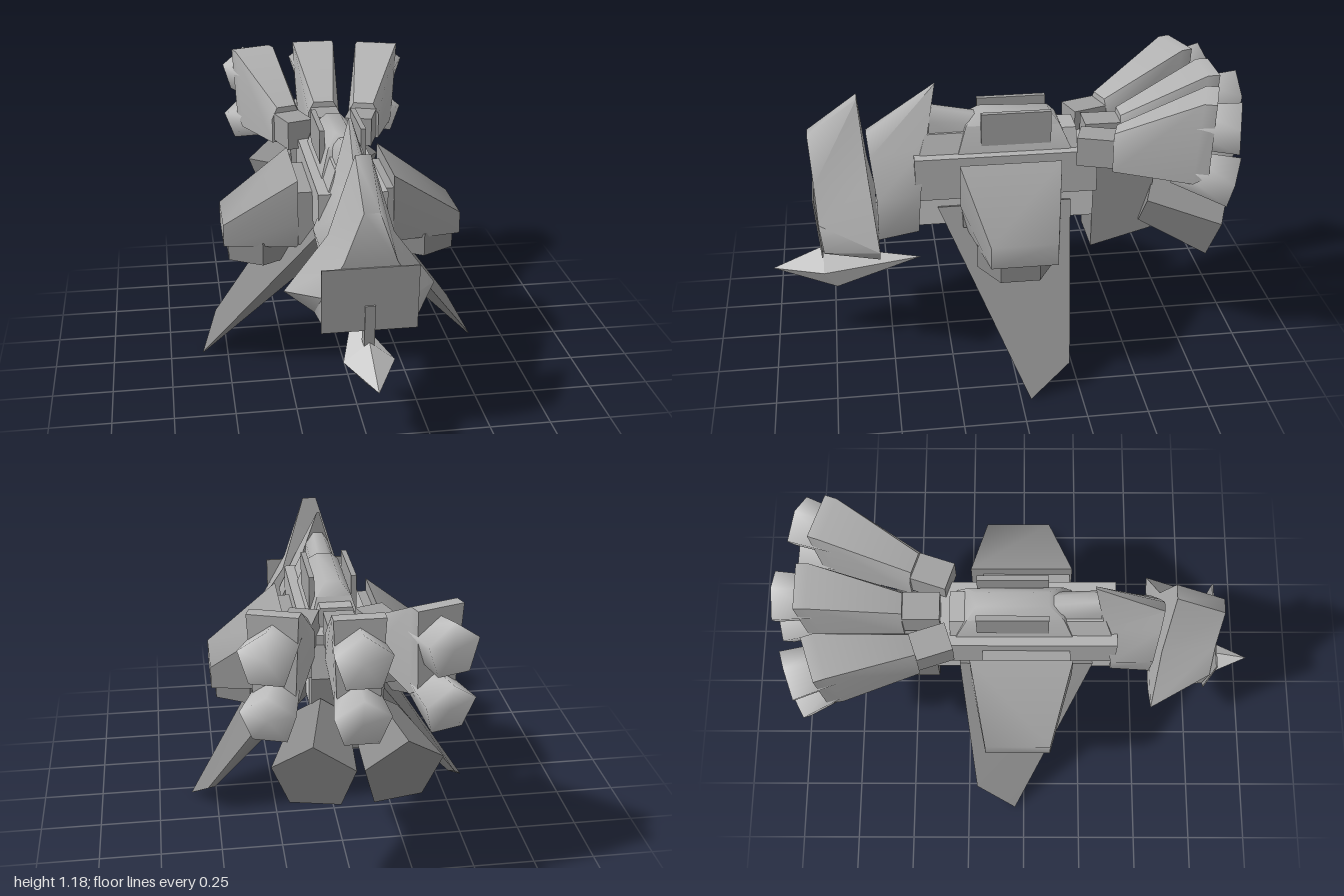
import * as THREE from 'three';
import { toCreasedNormals } from 'three/addons/utils/BufferGeometryUtils.js';
import { ConvexGeometry } from 'three/addons/geometries/ConvexGeometry.js';

const paint = color => new THREE.MeshStandardMaterial({ color, side: THREE.DoubleSide });
const light = paint(0xcccccc), medium = paint(0xb2b2b2), grey = paint(0xa0a0a0), dark = paint(0x8a8a8a);

function mesh(name, geo, parent, mat = light, crease = 0.6) {
  const m = new THREE.Mesh(toCreasedNormals(geo, crease), mat);
  m.name = name;
  parent.add(m);
  return m;
}

// Axis-aligned box given by its limits
function box(name, parent, mat, x0, x1, y0, y1, z0, z1) {
  const m = mesh(name, new THREE.BoxGeometry(x1 - x0, y1 - y0, z1 - z0), parent, mat);
  m.position.set((x0 + x1) / 2, (y0 + y1) / 2, (z0 + z1) / 2);
}

// Convex solid around corner points; sym also adds each corner at -x
function hull(name, parent, mat, pts, { sym = false, crease = 0.6 } = {}) {
  const v = [];
  for (const [x, y, z] of pts) {
    v.push(new THREE.Vector3(x, y, z));
    if (sym && x !== 0) v.push(new THREE.Vector3(-x, y, z));
  }
  mesh(name, new ConvexGeometry(v), parent, mat, crease);
}

// Symmetric shell between two half outlines (top to bottom), capped at both ends
function cowl(name, parent, back, front) {
  const ring = h => [...h, ...h.slice().reverse().map(([x, y, z]) => [-x, y, z])];
  const a = ring(back), b = ring(front), n = a.length, h = back.length, pos = [];
  const quad = (p, q, r, s) => pos.push(...p, ...q, ...r, ...p, ...r, ...s);
  for (let i = 0; i < n; i++) {
    const j = (i + 1) % n;
    quad(a[i], b[i], b[j], a[j]);
  }
  for (let i = 0; i < h - 1; i++) {
    const j = n - 1 - i;
    quad(a[i], a[i + 1], a[j - 1], a[j]);
    quad(b[j], b[j - 1], b[i + 1], b[i]);
  }
  const g = new THREE.BufferGeometry();
  g.setAttribute('position', new THREE.Float32BufferAttribute(pos, 3));
  mesh(name, g, parent, medium, 1.2);
}

// Five-sided nozzle running rearward from one point to another
function nozzle(name, parent, mat, from, to, r0, r1, crease) {
  const a = new THREE.Vector3(...from), b = new THREE.Vector3(...to);
  const m = mesh(name, new THREE.CylinderGeometry(r1, r0, a.distanceTo(b), 5), parent, mat, crease);
  m.position.copy(a).add(b).multiplyScalar(0.5);
  m.rotation.set(Math.atan2(b.y - a.y, a.z - b.z) - Math.PI / 2, Math.atan2(a.x - b.x, a.z - b.z), 0, 'YXZ');
}

// Engine with an upper and lower nozzle, pointing along -z from its pivot
function engine(name, parent, x, z, yaw) {
  const e = new THREE.Group();
  e.name = name;
  e.position.set(x, 0, z);
  e.rotation.y = yaw;
  parent.add(e);
  box('engineConnector', e, grey, -0.06, 0.06, 0.85, 0.975, -0.17, 0.02);
  hull('engineBody', e, medium, [
    [0.07, 0.84, -0.13], [0.07, 0.95, -0.13], [0.045, 1.0, -0.13],
    [0.08, 0.82, -0.46], [0.095, 1.18, -0.48], [0.095, 1.18, -0.53], [0.08, 0.86, -0.52],
  ], { sym: true, crease: 0.9 });
  nozzle('upperNozzle', e, light, [0, 1.04, -0.4], [0, 1.05, -0.63], 0.09, 0.11, 2);
  nozzle('lowerNozzle', e, light, [0, 0.86, -0.38], [0, 0.81, -0.62], 0.075, 0.11, 2);
}

function side(parent) {
  // Side pod with hexagonal foot
  hull('sidePod', parent, grey, [
    [0.2, 0.885, 0.2], [0.2, 0.885, -0.22], [0.2, 0.58, 0.17], [0.2, 0.58, -0.22],
    [0.2, 0.7, 0.2], [0.505, 0.67, 0.11], [0.505, 0.67, -0.16],
    [0.505, 0.575, 0.11], [0.505, 0.575, -0.16],
  ], { crease: 1.2 });
  const foot = mesh('podFoot', new THREE.CylinderGeometry(0.16, 0.16, 0.1, 6), parent, dark);
  foot.position.set(0.345, 0.545, -0.01);
  box('podRoot', parent, grey, 0.12, 0.2, 0.6, 0.83, -0.17, 0.19);

  // Downward swept blade wing
  hull('lowerWing', parent, dark, [
    [0.05, 0.64, 0.28], [0.14, 0.67, 0.29], [0.05, 0.64, -0.27], [0.14, 0.67, -0.27],
    [0.51, 0.12, -0.2], [0.54, 0.12, -0.21], [0.605, 0, -0.04], [0.61, 0, -0.04],
  ]);

  // Canopy side plate
  box('canopyPlate', parent, grey, 0.075, 0.097, 0.92, 1.06, -0.19, 0.1);

  // Outer engine and the drooping belly thruster
  engine('outerEngine', parent, 0.135, -0.32, -0.32);
  nozzle('bellyThruster', parent, dark, [0.1, 0.64, -0.6], [0.165, 0.555, -0.9], 0.105, 0.165, 0.3);
}

export function createModel() {
  const g = new THREE.Group();
  g.name = 'spacecraft';

  // Central fuselage
  box('fuselageRail', g, medium, -0.14, 0.14, 0.705, 0.89, -0.38, 0.38);
  box('belly', g, light, -0.12, 0.12, 0.58, 0.71, -0.37, 0.37);
  hull('upperDeck', g, medium, [
    [0.1, 0.88, 0.36], [0.065, 0.97, 0.33], [0.1, 0.88, -0.3], [0.065, 0.97, -0.3],
  ], { sym: true });
  hull('neck', g, medium, [
    [0.06, 0.89, 0.32], [0.05, 1.02, 0.31], [0.02, 1.07, 0.3],
    [0.06, 0.89, 0.1], [0.05, 1.0, 0.1], [0.02, 1.03, 0.1],
  ], { sym: true, crease: 1.2 });
  hull('canopy', g, medium, [
    [0.105, 0.88, 0.2], [0.07, 1.0, 0.16], [0.03, 1.05, 0.1],
    [0.105, 0.88, -0.28], [0.07, 0.99, -0.23], [0.03, 1.04, -0.19],
  ], { sym: true, crease: 1.2 });
  hull('rearHull', g, dark, [
    [0.11, 0.85, -0.37], [0.11, 0.42, -0.37], [0.14, 0.82, -0.62], [0.14, 0.51, -0.62],
  ], { sym: true });

  // Layered nose cowls
  cowl('rearCowl', g,
    [[0.005, 1.17, 0.28], [0.08, 0.92, 0.33], [0.16, 0.74, 0.36], [0.12, 0.55, 0.37]],
    [[0.02, 0.97, 0.57], [0.07, 0.88, 0.56], [0.15, 0.72, 0.54], [0.12, 0.52, 0.54]]);
  cowl('frontCowl', g,
    [[0.03, 1.13, 0.6], [0.13, 0.8, 0.57], [0.3, 0.56, 0.54], [0.18, 0.46, 0.54]],
    [[0.03, 0.98, 0.81], [0.1, 0.78, 0.795], [0.18, 0.64, 0.785], [0.17, 0.5, 0.77]]);
  hull('nosePlate', g, grey, [
    [0.185, 0.49, 0.774], [0.185, 0.49, 0.78], [0.185, 0.76, 0.797], [0.185, 0.76, 0.803],
  ], { sym: true });

  // Sensor pod hanging below the nose
  hull('sensorStalk', g, grey, [
    [0.02, 0.42, 0.72], [0.02, 0.42, 0.78], [0.02, 0.6, 0.75], [0.02, 0.6, 0.798],
  ], { sym: true });
  hull('sensorPod', g, light, [
    [0, 0.345, 1], [0, 0.355, 0.36], [0, 0.44, 0.78], [0, 0.23, 0.73], [0.1, 0.36, 0.78],
  ], { sym: true, crease: 0.1 });

  engine('centreEngine', g, 0, -0.36, 0);

  // Mirrored side assemblies
  for (const s of [1, -1]) {
    const half = new THREE.Group();
    half.name = s > 0 ? 'leftSide' : 'rightSide';
    half.scale.x = s;
    side(half);
    g.add(half);
  }
  return g;
}
